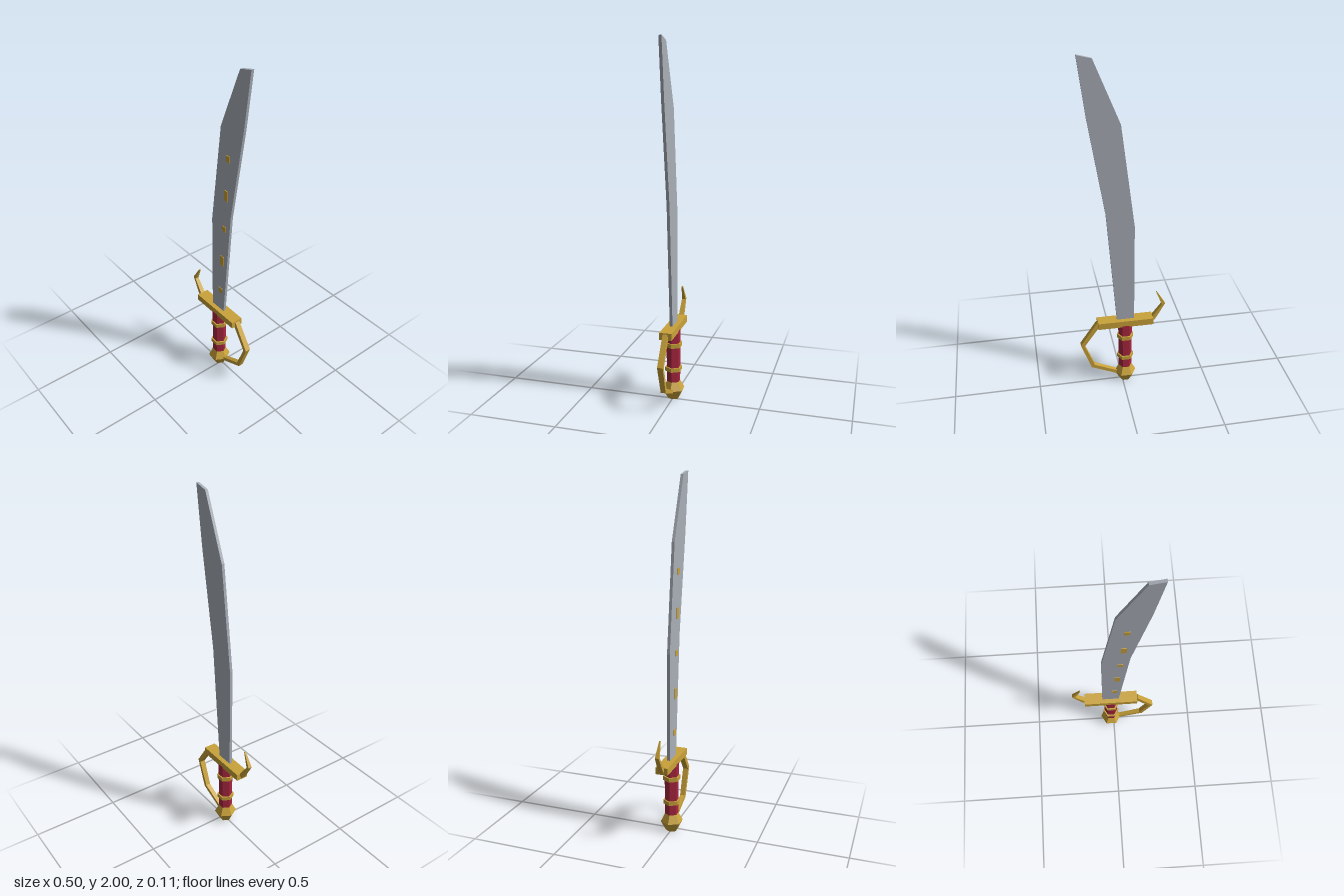
import * as THREE from 'three';

const material = (name, color) => {
  const m = new THREE.MeshStandardMaterial({ color });
  m.name = name;
  return m;
};

// Split the corners so every facet is flat
function faceted(geometry) {
  const g = geometry.index ? geometry.toNonIndexed() : geometry;
  g.computeVertexNormals();
  return g;
}

// Square bar lofted through sections [outerX, outerY, innerX, innerY, halfDepth]
function barGeometry(sections) {
  const positions = [], index = [];
  for (const [ox, oy, ix, iy, h] of sections) {
    positions.push(ox, oy, h, ox, oy, -h, ix, iy, -h, ix, iy, h);
  }
  for (let s = 0; s < sections.length - 1; s++) {
    for (let k = 0; k < 4; k++) {
      const a = s * 4 + k, b = s * 4 + (k + 1) % 4;
      index.push(a, a + 4, b + 4, a, b + 4, b);
    }
  }
  const e = (sections.length - 1) * 4;
  index.push(0, 1, 2, 0, 2, 3, e, e + 2, e + 1, e, e + 3, e + 2);
  const g = new THREE.BufferGeometry();
  g.setAttribute('position', new THREE.Float32BufferAttribute(positions, 3));
  g.setIndex(index);
  return faceted(g);
}

export function createModel() {
  const model = new THREE.Group();
  model.name = 'sabre';
  const steel = material('steel', 0xa9afb8);
  const gold = material('gold', 0xc9a23a);
  const red = material('red grip', 0xa8263f);
  const axisX = -0.018;

  const add = (name, geometry, mat) => {
    const mesh = new THREE.Mesh(geometry, mat);
    mesh.name = name;
    model.add(mesh);
    return mesh;
  };

  // Six-sided section of the handle between two heights
  const hexPart = (name, y0, y1, r0, r1, mat, open = false) => {
    const g = new THREE.CylinderGeometry(r1, r0, y1 - y0, 6, 1, open).rotateY(Math.PI / 6);
    add(name, faceted(g), mat).position.set(axisX, (y0 + y1) / 2, 0);
  };

  const box = (name, x0, x1, y0, y1, z0, z1, mat) => {
    add(name, new THREE.BoxGeometry(x1 - x0, y1 - y0, z1 - z0), mat)
      .position.set((x0 + x1) / 2, (y0 + y1) / 2, (z0 + z1) / 2);
  };

  // Blade
  const outline = [
    [-0.07, 0.43], [0.03, 0.43], [0.088, 1.13], [0.18, 1.68],
    [0.223, 2.0], [0.145, 1.98], [0.006, 1.64], [-0.069, 1.05],
  ].map(([x, y]) => new THREE.Vector2(x, y));
  const blade = new THREE.ExtrudeGeometry(new THREE.Shape(outline), { depth: 0.016, bevelEnabled: false });
  add('blade', faceted(blade.translate(0, 0, -0.008)), steel);

  // Small inlays on the front of the blade
  for (const [x, y, h] of [
    [0.004, 0.585, 0.035], [0.019, 0.808, 0.062], [0.035, 1.034, 0.033],
    [0.051, 1.253, 0.062], [0.065, 1.478, 0.035],
  ]) {
    box('bladeInlay', x - 0.015, x + 0.015, y - h / 2, y + h / 2, 0.0025, 0.0115, gold);
  }

  // Cross guard
  box('crossGuard', -0.18, 0.144, 0.403, 0.443, -0.035, 0.035, gold);

  // Grip and its two rings
  hexPart('grip', 0.095, 0.41, 0.039, 0.041, red);
  hexPart('lowerRing', 0.167, 0.19, 0.049, 0.049, gold);
  hexPart('upperRing', 0.31, 0.335, 0.049, 0.049, gold);

  // Pommel: two tapering halves
  hexPart('pommelBottom', 0, 0.056, 0.034, 0.064, gold);
  hexPart('pommelTop', 0.056, 0.107, 0.064, 0.037, gold);

  // Knuckle guard, from cross guard to pommel
  add('knuckleGuard', barGeometry([
    [0.148, 0.438, 0.138, 0.403, 0.014],
    [0.247, 0.285, 0.225, 0.277, 0.016],
    [0.186, 0.115, 0.167, 0.13, 0.014],
    [0.035, 0.045, 0.03, 0.066, 0.012],
  ]), gold);

  // Curled hook on the other end of the cross guard
  add('guardHook', barGeometry([
    [-0.19, 0.418, -0.172, 0.435, 0.014],
    [-0.252, 0.525, -0.233, 0.52, 0.011],
    [-0.203, 0.608, -0.2, 0.602, 0.004],
  ]), gold);

  return model;
}
